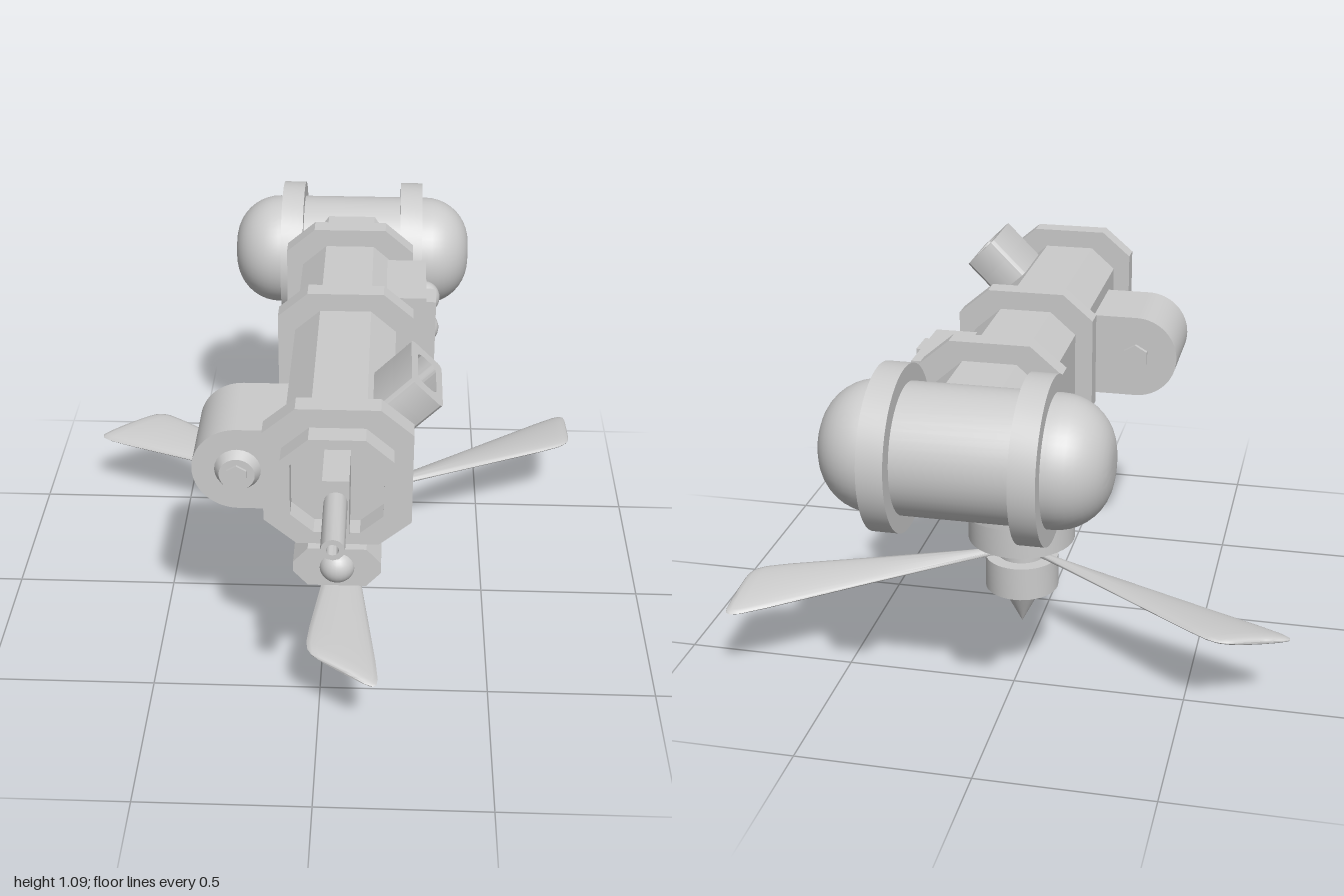
import * as THREE from 'three';
import { toCreasedNormals } from 'three/addons/utils/BufferGeometryUtils.js';

const AX = 0.055, AY = 0.842; // main body axis
const ROTOR_Z = -0.145;

export function createModel() {
  const root = new THREE.Group();
  const mat = new THREE.MeshStandardMaterial({ color: 0xcccccc });

  const add = (name, geo, x = 0, y = 0, z = 0, parent = root) => {
    const mesh = new THREE.Mesh(geo, mat);
    mesh.name = name;
    mesh.position.set(x, y, z);
    parent.add(mesh);
    return mesh;
  };
  const box = (name, x0, x1, y0, y1, z0, z1) =>
    add(name, new THREE.BoxGeometry(x1 - x0, y1 - y0, z1 - z0), (x0 + x1) / 2, (y0 + y1) / 2, (z0 + z1) / 2);
  const lathe = (pts, sides = 40, crease = 0.5) =>
    toCreasedNormals(new THREE.LatheGeometry(pts.map(p => new THREE.Vector2(...p)), sides), crease);
  const extrude = (shape, depth) =>
    toCreasedNormals(new THREE.ExtrudeGeometry(shape, { depth, bevelEnabled: false, curveSegments: 16 }), 0.5);

  // Rectangle with cut corners
  const octPoints = (hx, hy, cx, cy) => [
    [hx, -hy + cy], [hx, hy - cy], [hx - cx, hy], [-hx + cx, hy],
    [-hx, hy - cy], [-hx, -hy + cy], [-hx + cx, -hy], [hx - cx, -hy],
  ].map(p => new THREE.Vector2(...p));
  const oct = (...a) => new THREE.Shape(octPoints(...a));

  // Rectangle with rounded corners
  const roundRect = (Type, hx, hy, r) => {
    const s = new Type();
    s.absarc(hx - r, hy - r, r, 0, Math.PI / 2);
    s.absarc(-hx + r, hy - r, r, Math.PI / 2, Math.PI);
    s.absarc(-hx + r, -hy + r, r, Math.PI, Math.PI * 1.5);
    s.absarc(hx - r, -hy + r, r, Math.PI * 1.5, Math.PI * 2);
    s.closePath();
    return s;
  };

  // Eight-sided body with a recessed front rim
  add('body', extrude(oct(0.149, 0.157, 0.074, 0.065), 1.36), AX, AY, -0.77);
  const rim = oct(0.149, 0.157, 0.074, 0.065);
  rim.holes.push(new THREE.Path(octPoints(0.124, 0.132, 0.062, 0.055)));
  add('frontRim', extrude(rim, 0.11), AX, AY, 0.59);
  for (const z of [-0.52, -0.077, 0.58])
    add('collar', extrude(oct(0.2, 0.212, 0.088, 0.075), 0.06), AX, AY, z);

  // Nozzle block and hollow rod
  box('nozzleBlock', 0.02, 0.09, 0.748, 0.932, 0.58, 0.79);
  add('nozzleRod', lathe([[0.031, 0], [0.031, 0.23], [0.016, 0.23], [0.016, 0.15], [0, 0.15]], 12, 0.6),
    AX, 0.868, 0.77).rotation.x = Math.PI / 2;

  // Cross drum with rounded ends and two flanges
  const drum = new THREE.Group();
  drum.name = 'drum';
  drum.position.set(AX, AY, -0.77);
  drum.rotation.z = -Math.PI / 2;
  root.add(drum);
  const R = 0.177, C = 0.145, H = 0.387, profile = [[0, -H]];
  for (const s of [-1, 1])
    for (let i = 0; i <= 10; i++) {
      const a = (s < 0 ? i - 10 : i) / 10 * Math.PI / 2;
      profile.push([R - C + C * Math.cos(a), s * (H - C) + C * Math.sin(a)]);
    }
  profile.push([0, H]);
  add('drumTank', lathe(profile, 48), 0, 0, 0, drum);
  for (const y of [-0.193, 0.195])
    add('drumFlange', toCreasedNormals(new THREE.CylinderGeometry(0.224, 0.224, 0.071, 48), 0.5), 0, y, 0, drum);

  // Rounded side housing with bolts at both ends
  const hs = new THREE.Shape();
  hs.moveTo(-0.05, 0.892);
  hs.lineTo(-0.227, 0.892);
  hs.absarc(-0.227, 0.764, 0.128, Math.PI / 2, Math.PI * 1.5);
  hs.lineTo(-0.05, 0.636);
  add('sideHousing', extrude(hs, 0.258), 0, 0, 0.229);
  const bolt = (name, r0, r1, len, sides, z) => {
    const g = toCreasedNormals(new THREE.CylinderGeometry(r1, r0, len, sides), 0.6);
    add(name, g, -0.227, 0.764, z).rotation.x = Math.PI / 2;
  };
  bolt('housingCap', 0.066, 0.05, 0.03, 24, 0.5);
  bolt('housingBoltFront', 0.033, 0.033, 0.02, 6, 0.513);
  bolt('housingBoltRear', 0.042, 0.042, 0.03, 6, 0.23);

  // Slanted port with a slotted end
  const port = new THREE.Group();
  port.name = 'slantedPort';
  port.position.set(0.288, 1.044, 0.42);
  port.rotation.set(-Math.PI / 2, Math.PI / 4, 0, 'ZXY');
  port.lookAt(1.288, 2.044, 0.42);
  root.add(port);
  // Local z points out of the body, local x runs along the length
  const portShape = roundRect(THREE.Shape, 0.112, 0.06, 0.018);
  portShape.holes.push(roundRect(THREE.Path, 0.072, 0.036, 0.024));
  add('portRim', extrude(portShape, 0.07), 0, 0, -0.07, port);
  add('portBase', extrude(roundRect(THREE.Shape, 0.112, 0.06, 0.018), 0.15), 0, 0, -0.22, port);

  // Side instrument box with a plate and two domes
  box('instrumentBox', 0.16, 0.296, 0.688, 0.96, -0.447, -0.184);
  box('instrumentPlate', 0.28, 0.326, 0.718, 0.938, -0.295, -0.204);
  for (const y of [0.756, 0.863])
    add('instrumentDome', new THREE.SphereGeometry(0.052, 24, 16), 0.29, y, -0.384);

  // Underside rail and front lamp
  box('undersideRail', AX - 0.075, AX + 0.075, 0.612, 0.72, -0.03, 0.53);
  add('lampHousing', extrude(oct(0.12, 0.061, 0.04, 0.045), 0.145), AX, 0.569, 0.52);
  add('lamp', new THREE.SphereGeometry(0.05, 24, 16), AX, 0.568, 0.65);

  // Underside sensor with a recessed face
  add('undersideSensor', lathe([[0, 0.6], [0.05, 0.6], [0.05, 0.58], [0.073, 0.58], [0.104, 0.605], [0.104, 0.72]]),
    AX, 0, -0.325);

  // Rotor mount: neck, dome, stepped flange, hub and pointed tip
  const rotor = new THREE.Group();
  rotor.name = 'rotor';
  rotor.position.set(AX, 0, ROTOR_Z);
  root.add(rotor);
  add('rotorNeck', lathe([[0.065, 0.55], [0.065, 0.72]]), 0, 0, 0, rotor);
  add('rotorDome', new THREE.SphereGeometry(0.123, 40, 16, 0, Math.PI * 2, 0, Math.PI / 2), 0, 0.482, 0, rotor);
  add('rotorMount', lathe([
    [0, 0.3], [0.163, 0.3], [0.163, 0.41], [0.2, 0.41], [0.2, 0.455],
    [0.144, 0.455], [0.144, 0.482], [0, 0.482],
  ]), 0, 0, 0, rotor);
  add('rotorHub', lathe([
    [0, 0], [0.067, 0.132], [0.112, 0.132], [0.112, 0.237], [0.072, 0.237], [0.072, 0.31],
  ]), 0, 0, 0, rotor);

  // Three pitched blades with slanted, rounded tips
  const bladeGeo = makeBlade();
  for (let k = 0; k < 3; k++)
    add('blade', bladeGeo, 0, 0.257, 0, rotor).rotation.y = k * Math.PI * 2 / 3;

  return root;
}

// Blade lofted along +z from oval sections
function makeBlade() {
  const N = 24;
  const lead = [[0.006, 0.05], [0.128, 0.94]];  // x, z at root and tip
  const trail = [[-0.006, 0.05], [-0.097, 0.81]];
  // station along the blade, width scale, half thickness
  const stations = [[0, 1, 0.01], [0.16, 1, 0.011], [0.5, 1, 0.013], [0.85, 1, 0.015], [0.94, 0.97, 0.014],
    [0.975, 0.9, 0.012], [0.993, 0.78, 0.008], [1, 0.6, 0.003]];
  const lerp = THREE.MathUtils.lerp;
  const pos = [], idx = [];
  for (const [t, w, h] of stations)
    for (let j = 0; j < N; j++) {
      const a = j / N * Math.PI * 2, u = 0.5 + 0.5 * w * Math.cos(a);
      const at = i => lerp(lerp(trail[0][i], trail[1][i], t), lerp(lead[0][i], lead[1][i], t), u);
      const x = at(0);
      pos.push(x, h * Math.sin(a) - 0.15 * x, at(1));
    }
  for (let i = 0; i < stations.length - 1; i++)
    for (let j = 0; j < N; j++) {
      const k = (j + 1) % N, a = i * N + j, b = i * N + k;
      idx.push(a, b, b + N, a, b + N, a + N);
    }
  const last = (stations.length - 1) * N;
  for (let j = 1; j < N - 1; j++) idx.push(last, last + j, last + j + 1);
  const g = new THREE.BufferGeometry();
  g.setAttribute('position', new THREE.Float32BufferAttribute(pos, 3));
  g.setIndex(idx);
  return toCreasedNormals(g, 0.9);
}
